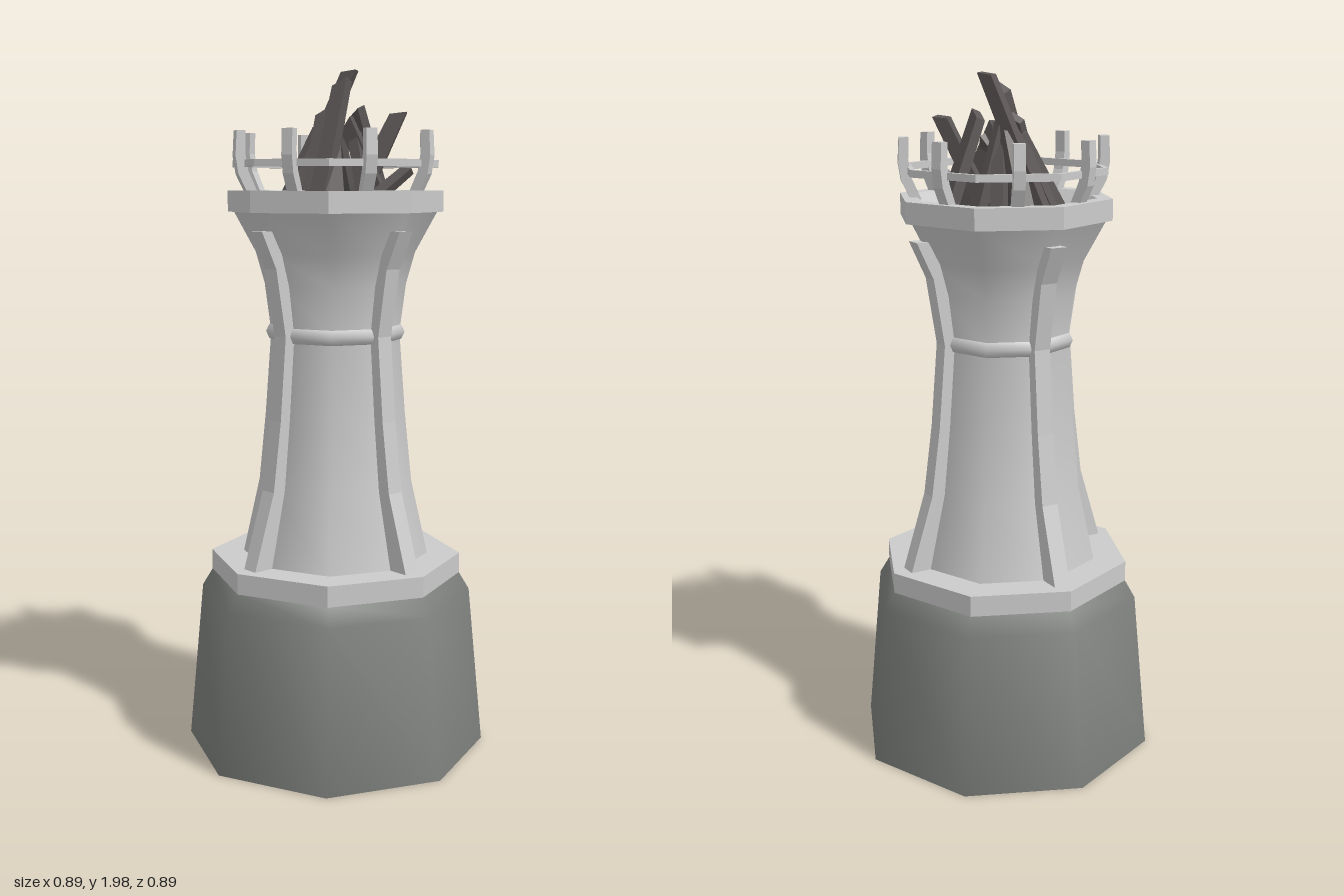
import * as THREE from 'three';
import { toCreasedNormals } from 'three/addons/utils/BufferGeometryUtils.js';

const stone = new THREE.MeshStandardMaterial({ color: 0xcccccc, side: THREE.DoubleSide });
const darkStone = new THREE.MeshStandardMaterial({ color: 0x7c7f7c, side: THREE.DoubleSide });
const wood = new THREE.MeshStandardMaterial({ color: 0x5c5656, flatShading: true });

const pts = (list) => list.map(([a, b]) => new THREE.Vector2(a, b));

function add(parent, name, geometry, material) {
  const mesh = new THREE.Mesh(geometry, material);
  mesh.name = name;
  parent.add(mesh);
  return mesh;
}

// Eight-sided solid of revolution with corners on the x and z axes
function octagon(profile, crease) {
  const g = new THREE.LatheGeometry(pts(profile), 8);
  return crease ? toCreasedNormals(g, crease) : g;
}

// Outline drawn in (radius, height), given a thickness and centred on its plane
function slabGeometry(outline, width) {
  const g = new THREE.ExtrudeGeometry(new THREE.Shape(pts(outline)), { depth: width, bevelEnabled: false });
  return g.translate(0, 0, -width / 2);
}

// Squared log from a foot to a tip, with slanted end and slight taper
function log(parent, foot, tip, width, thick, roll) {
  const a = new THREE.Vector3(...foot), b = new THREE.Vector3(...tip);
  const length = a.distanceTo(b);
  const g = new THREE.BoxGeometry(width, length, thick);
  const p = g.attributes.position;
  for (let i = 0; i < p.count; i++) {
    if (p.getY(i) > 0) {
      p.setY(i, p.getY(i) + p.getX(i) * 0.5);
      p.setX(i, p.getX(i) * 0.85);
      p.setZ(i, p.getZ(i) * 0.8);
    }
  }
  g.rotateY(roll);
  g.computeVertexNormals();
  const mesh = add(parent, 'log', g, wood);
  mesh.position.copy(a).add(b).multiplyScalar(0.5);
  mesh.quaternion.setFromUnitVectors(new THREE.Vector3(0, 1, 0), b.sub(a).normalize());
}

export function createModel() {
  const model = new THREE.Group();
  model.name = 'beaconTower';

  // Dark foundation and the pale ledge on it
  add(model, 'foundation', octagon([[0, 0], [0.445, 0], [0.445, 0], [0.40, 0.47], [0.37, 0.52], [0, 0.52]], 0.9), darkStone);
  add(model, 'ledge', octagon([[0, 0.515], [0.37, 0.515], [0.37, 0.58], [0, 0.58]], 0.5), stone);

  // Waisted shaft
  add(model, 'shaft', octagon([[0.275, 0.575], [0.225, 0.8], [0.205, 1.0], [0.187, 1.24],
    [0.205, 1.38], [0.23, 1.47], [0.295, 1.59]]), stone);

  // Moulding round the waist
  add(model, 'waistBand', octagon([[0.18, 1.215], [0.193, 1.22], [0.202, 1.24], [0.193, 1.26], [0.18, 1.265]]), stone);

  // Four buttress ribs
  const rib = slabGeometry([[0.2, 0.58], [0.325, 0.58], [0.255, 0.8], [0.228, 1.0], [0.208, 1.24],
    [0.24, 1.43], [0.29, 1.535], [0.24, 1.535], [0.2, 1.43], [0.17, 1.24], [0.19, 0.9]], 0.05);
  for (let i = 0; i < 4; i++) add(model, 'rib', rib, stone).rotation.y = i * Math.PI / 2;

  // Rim and the sunken fire bowl
  add(model, 'rimAndBowl', octagon([[0.28, 1.585], [0.31, 1.585], [0.31, 1.645], [0.265, 1.645],
    [0.205, 1.57], [0, 1.57]], 0.5), stone);

  // Curved posts at the middle of each side
  const post = slabGeometry([[0.235, 1.64], [0.265, 1.64], [0.29, 1.69], [0.298, 1.74], [0.294, 1.81],
    [0.268, 1.81], [0.27, 1.75], [0.262, 1.70]], 0.032);
  for (let i = 0; i < 8; i++) add(model, 'post', post, stone).rotation.y = (i + 0.5) * Math.PI / 4;

  // Guard rail threaded through the posts
  add(model, 'guardRail', octagon([[0.28, 1.71], [0.295, 1.71], [0.295, 1.73], [0.28, 1.73], [0.28, 1.71]], 0.5), stone);

  // Stacked logs: foot, tip, width, thickness, roll
  const pile = new THREE.Group();
  pile.name = 'logPile';
  model.add(pile);
  [
    [[-0.14, 1.58, 0.05], [-0.005, 1.98, -0.06], 0.045, 0.035, 0.5],
    [[0.09, 1.58, 0.15], [0.04, 1.94, 0.01], 0.05, 0.04, 0.3],
    [[0, 1.59, -0.19], [0.005, 1.87, -0.08], 0.05, 0.035, 0],
    [[-0.17, 1.59, -0.03], [-0.05, 1.83, -0.02], 0.035, 0.05, 0],
    [[-0.14, 1.58, -0.1], [-0.01, 1.84, -0.02], 0.04, 0.035, 0.6],
    [[-0.05, 1.58, -0.12], [-0.03, 1.88, -0.02], 0.03, 0.03, 0.1],
    [[0.02, 1.58, -0.03], [0.11, 1.86, -0.14], 0.045, 0.035, 0.7],
    [[0.06, 1.58, -0.02], [0.14, 1.86, -0.12], 0.04, 0.035, 0.7],
    [[0.13, 1.58, 0.04], [0.19, 1.70, -0.1], 0.035, 0.03, 0.2],
    [[0.18, 1.58, 0.04], [0.06, 1.8, -0.02], 0.035, 0.04, 0.3],
    [[0.14, 1.58, 0.12], [0.02, 1.82, 0.03], 0.05, 0.045, 0.8],
    [[0.04, 1.58, 0.14], [-0.03, 1.86, 0.02], 0.04, 0.03, 0.4],
    [[-0.045, 1.58, 0.165], [-0.03, 1.82, 0.03], 0.032, 0.04, 0],
    [[-0.11, 1.58, 0.1], [-0.02, 1.83, 0.02], 0.035, 0.035, 0.5],
    [[0.15, 1.58, -0.06], [0.05, 1.83, 0], 0.05, 0.03, 0.4],
  ].forEach((args) => log(pile, ...args));

  return model;
}
